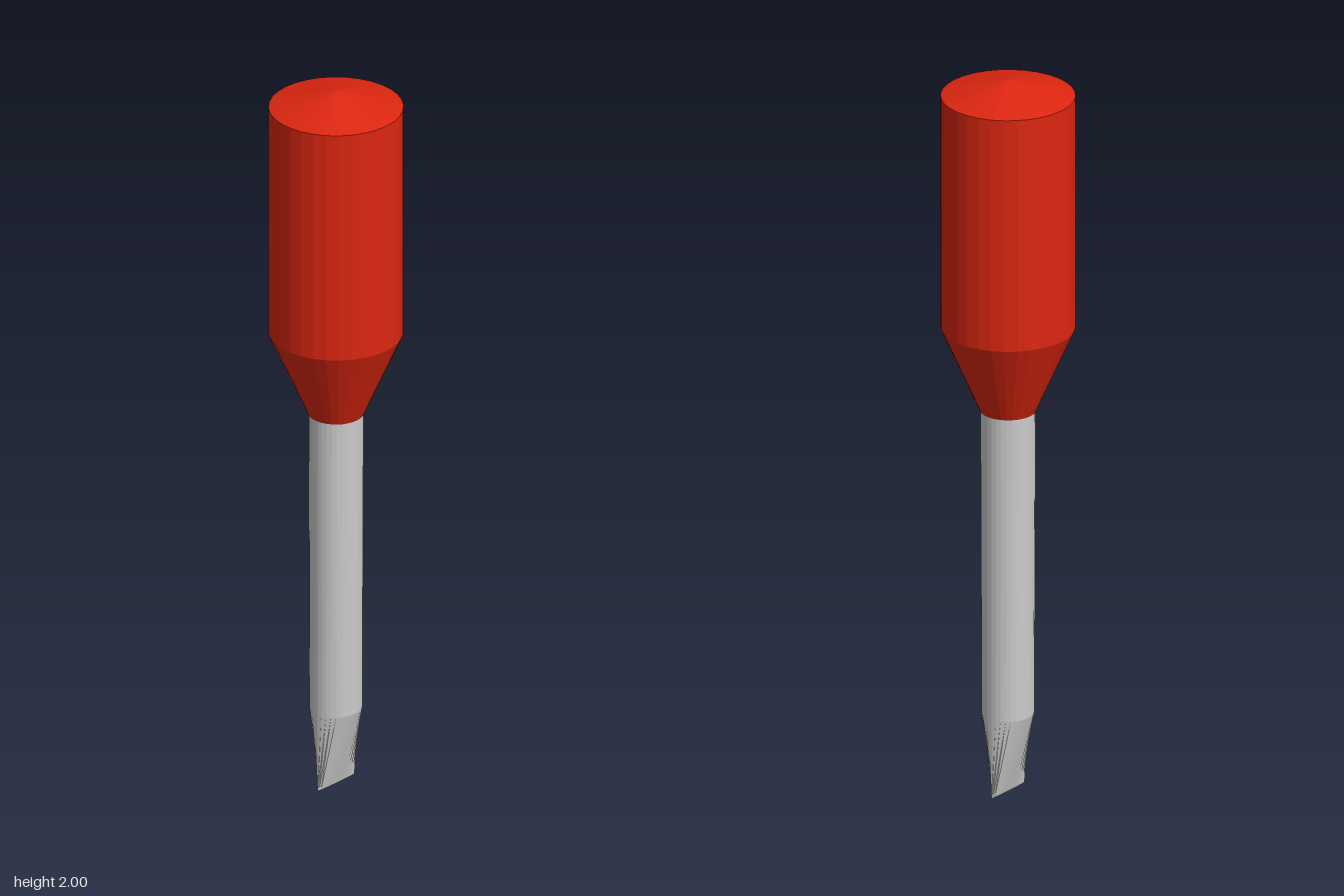
import * as THREE from 'three';

const SIDES = 32;

export function createModel() {
  const model = new THREE.Group();
  const red = new THREE.MeshStandardMaterial({ color: 0xdd2610, flatShading: true });
  const grey = new THREE.MeshStandardMaterial({ color: 0xcccccc, flatShading: true });

  function add(name, geometry, material) {
    const mesh = new THREE.Mesh(geometry, material);
    mesh.name = name;
    model.add(mesh);
  }

  // Round bar between two heights whose x width is squeezed linearly; its z width is constant
  function squeezedBar(y0, y1, halfX0, halfX1, radius) {
    const geo = new THREE.CylinderGeometry(radius, radius, y1 - y0, SIDES);
    geo.translate(0, (y0 + y1) / 2, 0);
    const p = geo.attributes.position;
    for (let i = 0; i < p.count; i++) {
      const t = (p.getY(i) - y0) / (y1 - y0);
      p.setX(i, p.getX(i) * THREE.MathUtils.lerp(halfX0, halfX1, t) / radius);
    }
    geo.computeVertexNormals();
    return geo;
  }

  // Handle: tapered collar, straight grip and shallow conical cap
  const profile = [[0, 1.07], [0.073, 1.07], [0.176, 1.305], [0.176, 1.955], [0, 2]]
    .map(([r, y]) => new THREE.Vector2(r, y));
  add('handle', new THREE.LatheGeometry(profile, SIDES), red);

  // Shaft and the flat blade it narrows into
  add('shaft', squeezedBar(0.22, 1.07, 0.067, 0.072, 0.072), grey);
  add('bladeTip', squeezedBar(0, 0.22, 0.004, 0.067, 0.072), grey);

  return model;
}
